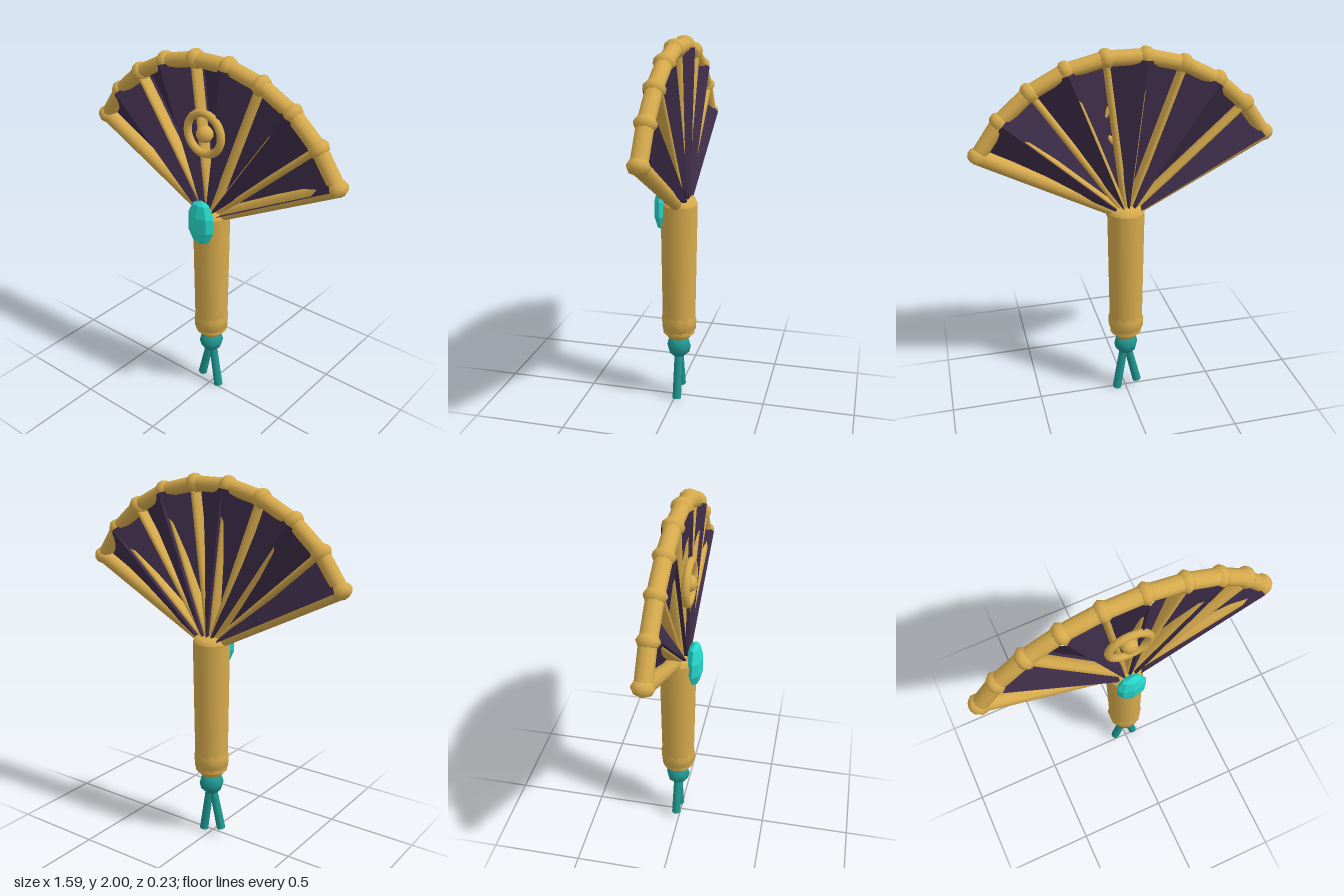
import * as THREE from 'three';

const mat = (name, color, extra = {}) => {
  const m = new THREE.MeshStandardMaterial({ color, ...extra });
  m.name = name;
  return m;
};

export function createModel() {
  const gold = mat('gold', 0xd6aa4c);
  const cloth = mat('darkPurpleCloth', 0x3d2c48, { side: THREE.DoubleSide, flatShading: true });
  const teal = mat('tassel', 0x1f9791);
  const gemMat = mat('brightGem', 0x25d6ca, { flatShading: true });

  const group = new THREE.Group();
  const Z = -0.015, PIVOT_Y = 1.12, R = 0.845, N = 10;
  const SPREAD = THREE.MathUtils.degToRad(62);

  const add = (name, geo, material, x = 0, y = 0, z = Z, parent = group) => {
    const mesh = new THREE.Mesh(geo, material);
    mesh.name = name;
    mesh.position.set(x, y, z);
    parent.add(mesh);
    return mesh;
  };
  // Rod between two points; depth stretches it front to back
  const rod = (name, a, b, ra, rb, material, parent = group, depth = 1, sides = 10) => {
    const dir = b.clone().sub(a);
    const mid = a.clone().add(b).multiplyScalar(0.5);
    const mesh = add(name, new THREE.CylinderGeometry(rb, ra, dir.length(), sides), material, mid.x, mid.y, mid.z, parent);
    mesh.rotation.z = Math.atan2(-dir.x, dir.y);
    mesh.scale.z = depth;
    return mesh;
  };
  const angle = i => -SPREAD + (2 * SPREAD * i) / (N - 1);
  const onFan = (i, r, z = Z) =>
    new THREE.Vector3(Math.sin(angle(i)) * r, PIVOT_Y + Math.cos(angle(i)) * r, z);

  // Fan frame: ribs, outer guards, rim rods and beads
  const frame = new THREE.Group();
  frame.name = 'fanFrame';
  group.add(frame);
  for (let i = 0; i < N; i++) {
    const end = i === 0 || i === N - 1;
    if (end) rod('guard', onFan(i, 0.03), onFan(i, R), 0.034, 0.042, gold, frame);
    else rod('rib', onFan(i, 0.03), onFan(i, R), 0.018, 0.018, gold, frame, 2.2, 8);
    const p = onFan(i, R);
    const bead = add('rimBead', new THREE.SphereGeometry(0.052, 8, 6), gold, p.x, p.y, Z, frame);
    bead.rotation.z = -angle(i);
    bead.scale.set(0.85, 1, 1.1);
    if (i < N - 1) rod('rimRod', p, onFan(i + 1, R), 0.039, 0.039, gold, frame, 1.12);
  }

  // Pleated cloth: folds alternate back and front
  const pos = [];
  const fold = (i, r) => onFan(i, r, Z + (i % 2 ? 0.058 : -0.058)).toArray();
  for (let i = 0; i < N - 1; i++) {
    const a = fold(i, 0.04), b = fold(i + 1, 0.04), c = fold(i + 1, 0.836), d = fold(i, 0.836);
    pos.push(...a, ...b, ...c, ...a, ...c, ...d);
  }
  const clothGeo = new THREE.BufferGeometry();
  clothGeo.setAttribute('position', new THREE.Float32BufferAttribute(pos, 3));
  clothGeo.computeVertexNormals();
  add('pleatedCloth', clothGeo, cloth, 0, 0, 0);

  // Handle and scalloped end cap
  const lathe = (pts, sides) => new THREE.LatheGeometry(pts.map(p => new THREE.Vector2(...p)), sides);
  add('handle', lathe([[0.088, 0.4], [0.092, 0.5], [0.1, 1.14]], 16), gold);
  add('handleTop', lathe([[0.1, 1.14], [0.085, 1.175], [0, 1.18]], 16), gold);
  add('endCap', lathe([[0.062, 0.37], [0.096, 0.43], [0.099, 0.48], [0.09, 0.515]], 10), gold);
  add('endCapBase', lathe([[0, 0.37], [0.062, 0.37]], 10), gold);

  // Ring emblem and boss on the cloth
  add('emblemRing', new THREE.TorusGeometry(0.108, 0.021, 8, 24), gold, 0, 1.61, 0.045);
  add('emblemBoss', new THREE.SphereGeometry(0.045, 10, 8), gold, 0, 1.607, 0.04);

  // Faceted gem over the pivot
  const gem = add('gem', new THREE.SphereGeometry(1, 8, 5), gemMat, 0, 1.12, 0.075);
  gem.scale.set(0.088, 0.132, 0.046);

  // Tassel knot and two strands
  add('tasselKnot', new THREE.SphereGeometry(0.068, 8, 6), teal, 0, 0.315);
  rod('tasselStrand', new THREE.Vector3(-0.066, 0.045, Z), new THREE.Vector3(-0.005, 0.3, Z), 0.025, 0.022, teal);
  rod('tasselStrand', new THREE.Vector3(0.053, 0.01, Z), new THREE.Vector3(0.008, 0.3, Z), 0.025, 0.022, teal);

  return group;
}
